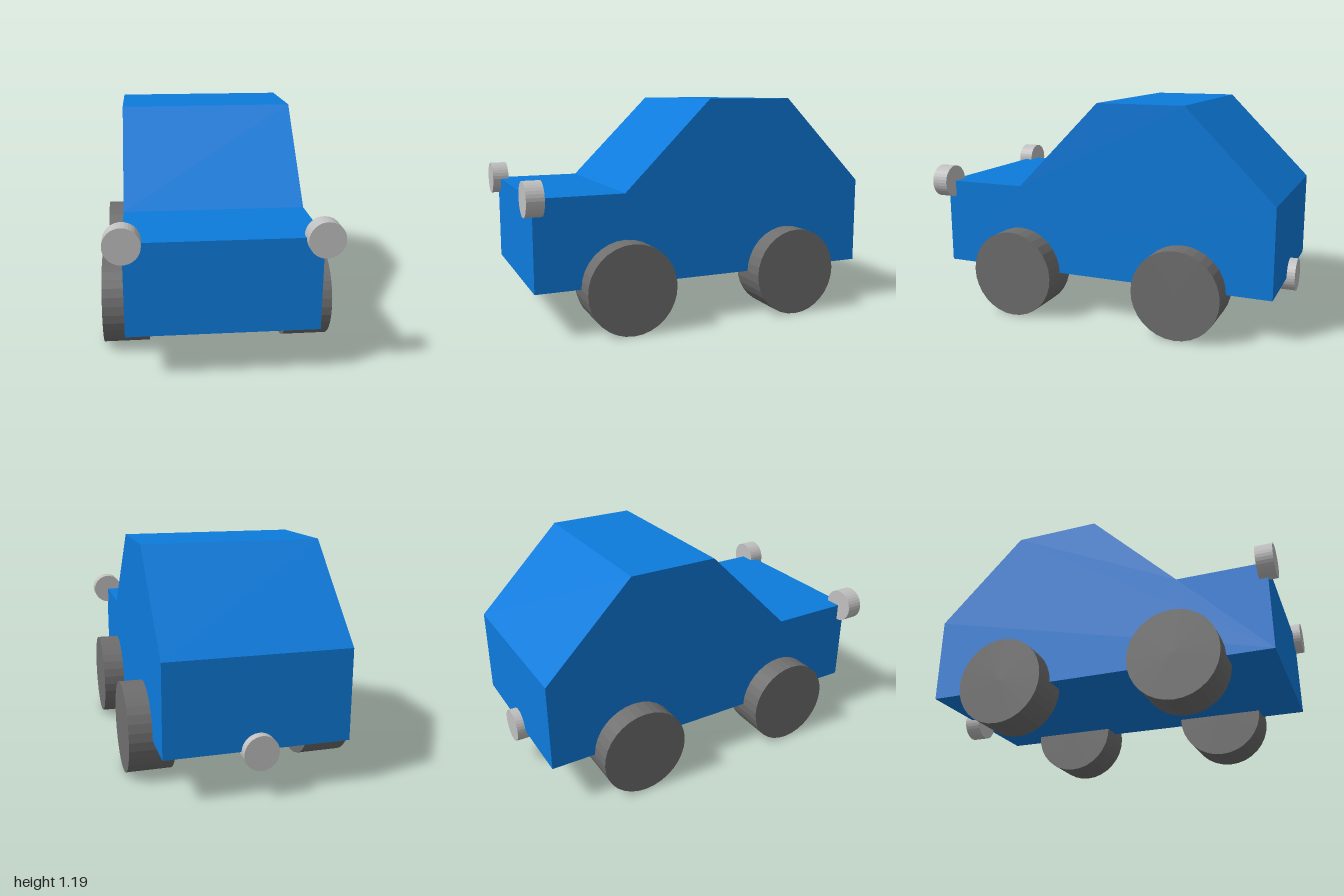
import * as THREE from 'three';

const SIDES = 32;

function paint(name, color) {
  const material = new THREE.MeshStandardMaterial({ color });
  material.name = name;
  return material;
}

export function createModel() {
  const car = new THREE.Group();
  car.name = 'car';

  const blue = paint('blue bodywork', 0x0d7bdc);
  const darkGrey = paint('dark grey rubber', 0x6e6e6e);
  const lightGrey = paint('light grey metal', 0xc0c0c0);

  const add = (name, geometry, material, x = 0, y = 0, z = 0) => {
    const mesh = new THREE.Mesh(geometry, material);
    mesh.name = name;
    mesh.position.set(x, y, z);
    car.add(mesh);
  };

  // Body: side profile as (z, y), extruded across the width
  const profile = [
    [0.955, 0.24], [0.955, 0.718], [0.478, 0.718], [0, 1.194],
    [-0.478, 1.194], [-0.955, 0.718], [-0.955, 0.24],
  ];
  const shape = new THREE.Shape(profile.map(([z, y]) => new THREE.Vector2(z, y)));
  const body = new THREE.ExtrudeGeometry(shape, { depth: 0.955, bevelEnabled: false });
  body.translate(0, 0, -0.4775).rotateY(-Math.PI / 2);
  add('body', body, blue);

  // Wheels: half sunk into the body sides
  const wheel = new THREE.CylinderGeometry(0.239, 0.239, 0.239, SIDES).rotateZ(Math.PI / 2);
  // Lamps and exhaust share one short disc along z
  const disc = new THREE.CylinderGeometry(0.09, 0.09, 0.09, SIDES).rotateX(Math.PI / 2);

  for (const [side, s] of [['left', 1], ['right', -1]]) {
    add(`${side}FrontWheel`, wheel, darkGrey, s * 0.478, 0.239, 0.478);
    add(`${side}RearWheel`, wheel, darkGrey, s * 0.478, 0.239, -0.478);
    add(`${side}Headlight`, disc, lightGrey, s * 0.478, 0.718, 0.955);
  }
  add('exhaust', disc, lightGrey, 0, 0.24, -0.955);

  // Faceted shading on the rounded parts
  darkGrey.flatShading = true;
  lightGrey.flatShading = true;

  return car;
}
